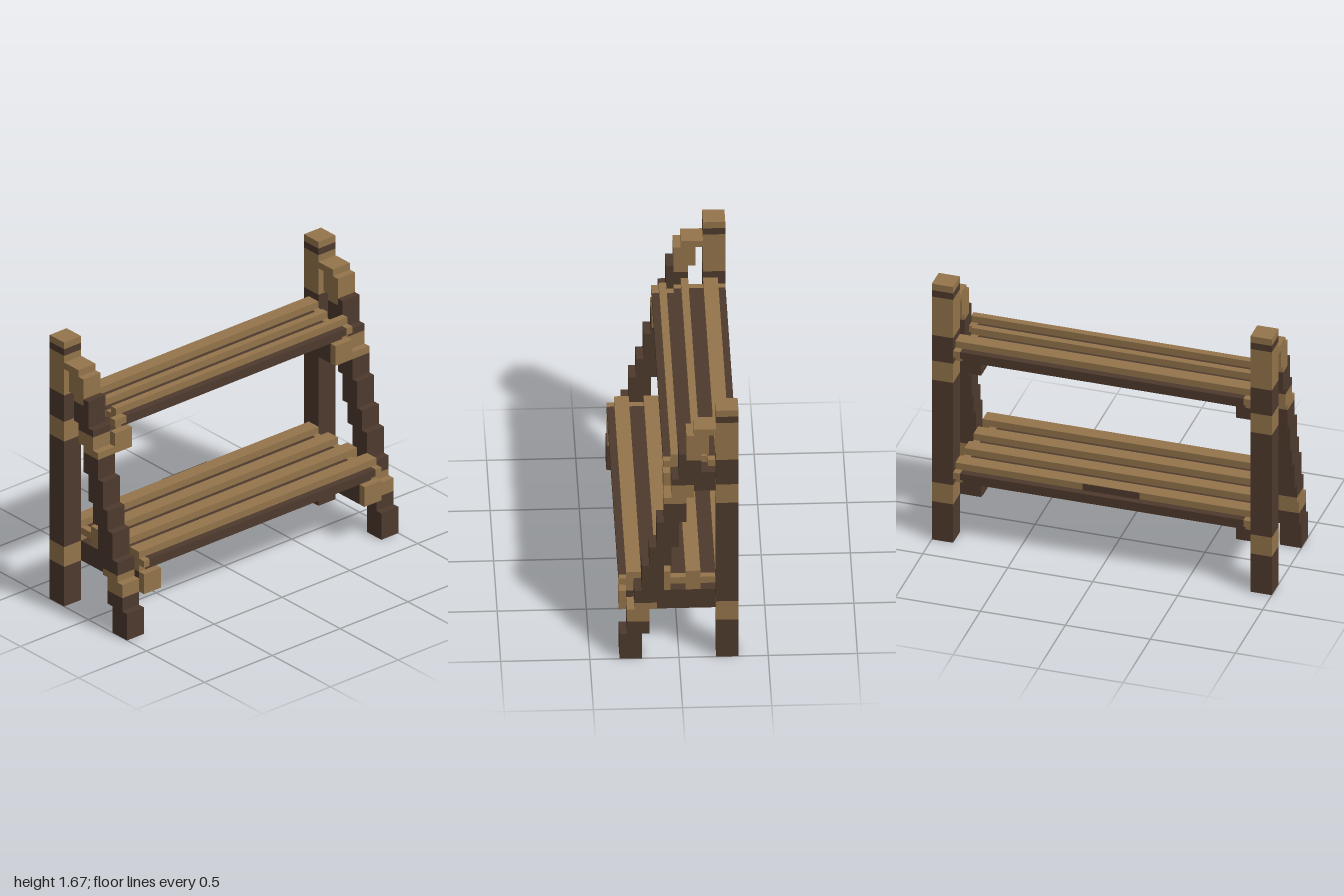
import * as THREE from 'three';

const U = 1 / 24; // one block

export function createModel() {
  const model = new THREE.Group();
  model.name = 'ladderShelf';
  const light = new THREE.MeshStandardMaterial({ color: 0x94744b });
  light.name = 'light wood';
  const dark = new THREE.MeshStandardMaterial({ color: 0x4e3a2d });
  dark.name = 'dark wood';

  // Box given by its block bounds: x 0-48, y 0-40, z 0-16 (back to front)
  function block(parent, name, mat, x0, x1, y0, y1, z0, z1) {
    const mesh = new THREE.Mesh(
      new THREE.BoxGeometry((x1 - x0) * U, (y1 - y0) * U, (z1 - z0) * U), mat);
    mesh.position.set(((x0 + x1) / 2 - 24) * U, (y0 + y1) / 2 * U, ((z0 + z1) / 2 - 8) * U);
    mesh.name = name;
    parent.add(mesh);
  }
  function group(name) {
    const g = new THREE.Group();
    g.name = name;
    model.add(g);
    return g;
  }

  // Banded back post: y0, y1, colour
  const postBands = [
    [0, 6, dark], [6, 9, light], [9, 25, dark], [25, 28, light],
    [28, 32, dark], [32, 38, light], [38, 39, dark], [39, 40, light],
  ];
  // Stepped leaning leg: z0, z1, y0, y1, colour
  const legSteps = [
    [13, 16, 0, 4, dark], [12, 15, 4, 6, dark], [12, 15, 6, 8, light],
    [11, 14, 8, 9, light], [11, 14, 9, 11, dark], [10, 13, 11, 15, dark],
    [9, 12, 15, 18, dark], [8, 11, 18, 22, dark], [7, 10, 22, 25, dark],
    [7, 10, 25, 26, light], [6, 9, 26, 28, light], [6, 9, 28, 29, dark],
    [5, 8, 29, 32, dark], [7, 8, 32, 33, dark], [5, 7, 32, 33, light],
    [4, 7, 33, 36, light], [3, 6, 36, 37, light],
  ];

  for (const [side, x, beamX] of [['right', 0, 3], ['left', 45, 42]]) {
    const post = group(side + 'BackPost');
    for (const [y0, y1, mat] of postBands) block(post, 'postBand', mat, x, x + 3, y0, y1, 0, 3);

    const leg = group(side + 'FrontLeg');
    for (const [z0, z1, y0, y1, mat] of legSteps) block(leg, 'legStep', mat, x, x + 3, y0, y1, z0, z1);

    // Beams carrying the shelves, with light front ends
    for (const [y, front] of [[6, 16], [25, 10]]) {
      const beam = group(side + 'ShelfBeam');
      block(beam, 'beam', dark, beamX, beamX + 3, y, y + 3, 3, front - 1);
      block(beam, 'beamEnd', light, beamX, beamX + 3, y, y + 3, front - 1, front);
    }
  }

  // Shelf rows: z0, z1, raised?, right inset, left inset, right cap length
  function shelf(name, y, rows) {
    const g = group(name);
    for (const [z0, z1, raised, insetR = 0, insetL = 0, cap = 1] of rows) {
      const a = 3 + insetR, b = 45 - insetL;
      const low = raised ? y : y + 1;
      block(g, raised ? 'plankUnderside' : 'groove', dark, a + cap, b - 1, low, y + 2, z0, z1);
      block(g, 'rightCap', light, a, a + cap, low, y + 2, z0, z1);
      block(g, 'leftCap', light, b - 1, b, low, y + 2, z0, z1);
      if (raised) block(g, 'plankTop', light, a, b, y + 2, y + 3, z0, z1);
    }
    return g;
  }

  const lower = shelf('lowerShelf', 9, [
    [0, 1, false], [1, 3, true], [3, 5, false], [5, 7, true], [7, 9, false],
    [9, 11, true], [11, 12, false, 0, 1], [12, 13, false, 0, 1], [13, 15, true], [15, 16, false],
  ]);
  // Dark mark on the rear plank edge
  block(lower, 'rearMark', dark, 19, 27, 11, 12, 0.9, 1.02);

  shelf('upperShelf', 28, [
    [0, 1, false], [1, 3, true], [3, 4, false], [4, 5, false, 0, 1], [5, 6, true, 0, 1],
    [6, 7, false, 0, 1], [7, 8, false, 1, 0], [8, 9, true, 1, 0], [9, 10, false, 0, 0, 2],
  ]);

  return model;
}
